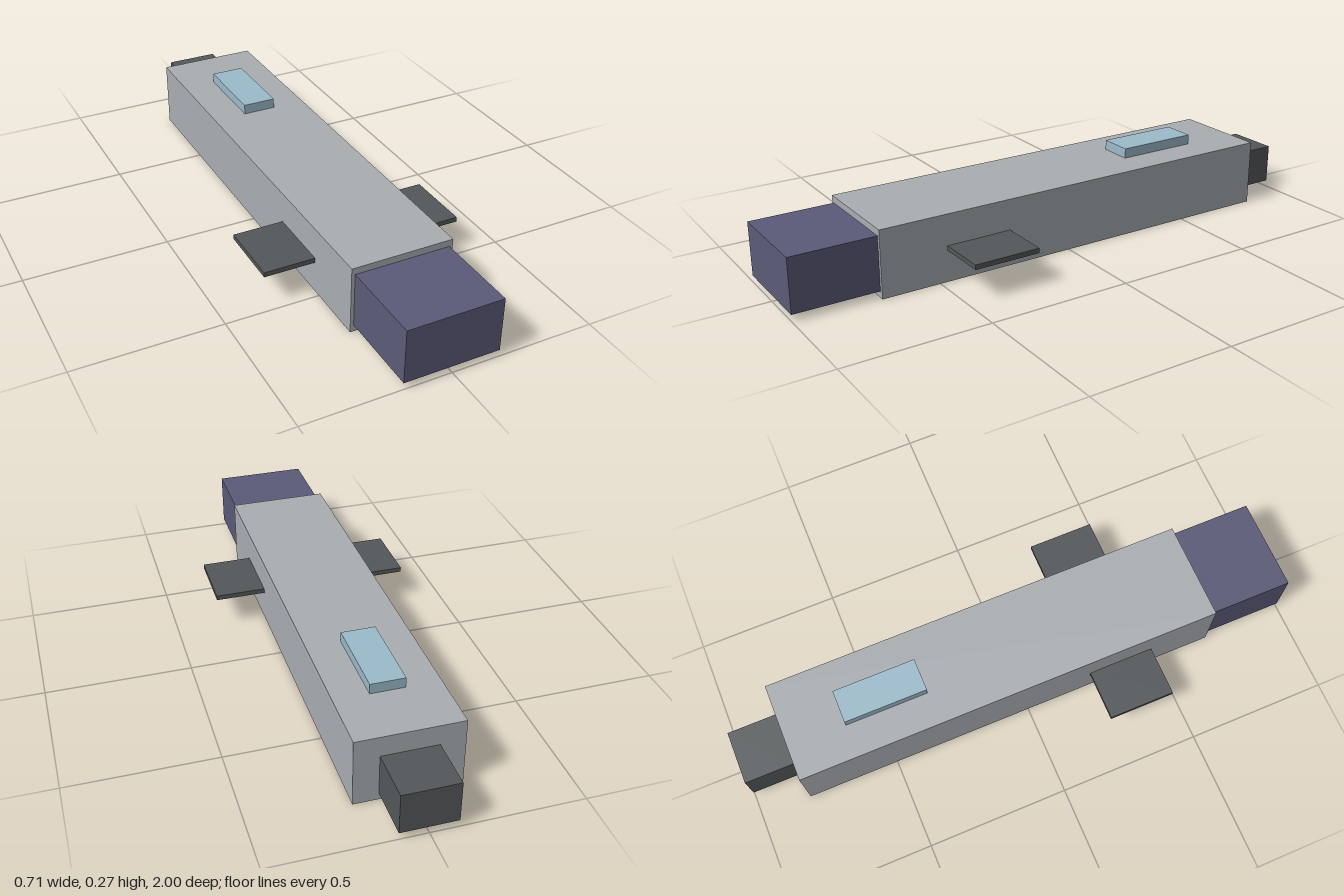
import * as THREE from 'three';

const material = (name, color) => {
  const m = new THREE.MeshStandardMaterial({ color });
  m.name = name;
  return m;
};

export function createModel() {
  const hullGrey = material('hull grey', 0xaaaeb2);
  const noseViolet = material('nose violet', 0x5c5b79);
  const darkGrey = material('dark grey', 0x54585a);
  const glassBlue = material('glass blue', 0x9cbbca);

  const model = new THREE.Group();
  model.name = 'spacecraft';

  // Box given by its extents along each axis
  const block = (name, mat, [x0, x1], [y0, y1], [z0, z1]) => {
    const mesh = new THREE.Mesh(new THREE.BoxGeometry(x1 - x0, y1 - y0, z1 - z0), mat);
    mesh.position.set((x0 + x1) / 2, (y0 + y1) / 2, (z0 + z1) / 2);
    mesh.name = name;
    model.add(mesh);
  };

  // Long body with a block at each end
  block('hull', hullGrey, [-0.1765, 0.1765], [0, 0.2353], [-0.8235, 0.7059]);
  block('nose', noseViolet, [-0.1647, 0.1647], [0.0235, 0.2118], [0.7059, 1]);
  block('tail', darkGrey, [-0.0941, 0.0941], [0.0235, 0.1647], [-1, -0.8235]);

  // Raised canopy on the roof
  block('canopy', glassBlue, [-0.0588, 0.0588], [0.2353, 0.2706], [-0.6176, -0.3235]);

  // Thin side fins
  block('leftFin', darkGrey, [0.1765, 0.3529], [0.1095, 0.1265], [0.2353, 0.4706]);
  block('rightFin', darkGrey, [-0.3529, -0.1765], [0.1095, 0.1265], [0.2353, 0.4706]);

  return model;
}
